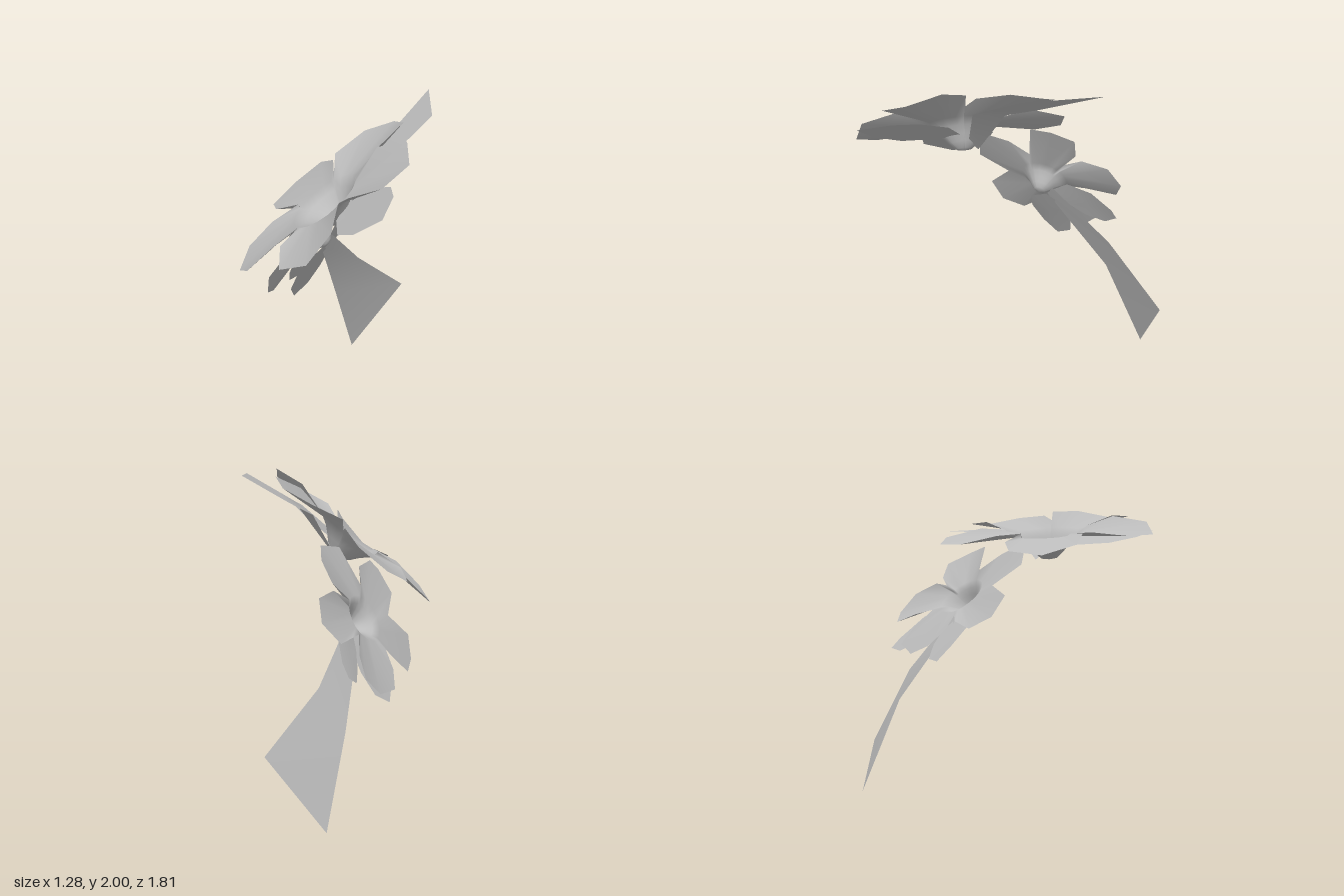
import * as THREE from 'three';

const blossomGrey = new THREE.MeshStandardMaterial({ color: 0xbababa, side: THREE.DoubleSide });
blossomGrey.name = 'blossomGrey';

function makeMesh(name, points, index) {
  const geo = new THREE.BufferGeometry().setFromPoints(points);
  geo.setIndex(index);
  geo.computeVertexNormals();
  const mesh = new THREE.Mesh(geo, blossomGrey);
  mesh.name = name;
  return mesh;
}

const toVectors = (list) => list.map((p) => new THREE.Vector3(...p));

// Radius and height of the round cup under the petals
const cup = [[0.05, 0.01], [0.09, 0.045], [0.125, 0.085], [0.17, 0.127], [0.23, 0.166]];

// Star of petals growing out of a blunt cup
function blossom(name, heart, facing, size, petals) {
  const c = new THREE.Vector3(...heart);
  const n = new THREE.Vector3(...facing).normalize();
  const rim = toVectors(petals.flat());
  const count = rim.length;
  const rings = cup.map(([r, h]) => rim.map((p) => {
    const out = p.clone().sub(c).projectOnPlane(n).normalize();
    return c.clone().addScaledVector(out, r * size).addScaledVector(n, h * size);
  }));
  rings.push(rim);
  const index = [];
  rings.forEach((ring, r) => {
    for (let i = 0; i < count; i++) {
      const a = 1 + r * count + i, b = 1 + r * count + (i + 1) % count;
      if (r === 0) index.push(0, a, b);
      else index.push(a - count, a, b, a - count, b, b - count);
    }
  });
  return makeMesh(name, [c, ...rings.flat()], index);
}

// Flat sepal: fan around its middle
function sepal(name, list) {
  const pts = toVectors(list);
  const mid = new THREE.Vector3();
  pts.forEach((p) => mid.addScaledVector(p, 1 / pts.length));
  const index = [];
  pts.forEach((p, i) => index.push(0, i + 1, ((i + 1) % pts.length) + 1));
  return makeMesh(name, [mid, ...pts], index);
}

// Leaf: strip of left and right edge pairs from base to tip
function leaf(name, pairs) {
  const index = [];
  for (let i = 0; i < pairs.length - 1; i++) {
    const k = i * 2;
    index.push(k, k + 1, k + 3, k, k + 3, k + 2);
  }
  return makeMesh(name, toVectors(pairs.flat()), index);
}

export function createModel() {
  const model = new THREE.Group();
  model.name = 'flowers';

  // Upper, larger flower; each row is one petal, starting at its inner corner
  const upper = new THREE.Group();
  upper.name = 'upperFlower';
  upper.add(blossom('upperPetals', [0.06, 1.43, 0.27], [-0.44, 0.79, 0.41], 1, [
    [[-0.14, 1.63, 0.1], [-0.245, 1.66, -0.02], [-0.44, 1.57, -0.135], [-0.57, 1.43, -0.03],
      [-0.575, 1.345, 0.17], [-0.415, 1.4, 0.32]],
    [[-0.23, 1.48, 0.33], [-0.4, 1.34, 0.375], [-0.48, 1.2, 0.5], [-0.39, 1.13, 0.685],
      [-0.22, 1.215, 0.8], [-0.09, 1.37, 0.72]],
    [[-0.03, 1.46, 0.555], [-0.025, 1.4, 0.725], [0.12, 1.355, 0.9], [0.325, 1.44, 0.905],
      [0.405, 1.61, 0.785], [0.3, 1.69, 0.6]],
    [[0.2, 1.64, 0.467], [0.34, 1.73, 0.55], [0.54, 1.82, 0.51], [0.577, 1.91, 0.31],
      [0.44, 1.975, 0.15], [0.22, 1.89, 0.14]],
    [[0.18, 1.79, 0.18], [0.19, 1.87, 0.09], [0.19, 1.955, -0.15], [0.03, 1.9, -0.27],
      [-0.165, 1.81, -0.23], [-0.22, 1.71, -0.01]],
  ]));
  upper.add(sepal('upperSepal', [
    [0.637, 1.7, 0.63], [0.455, 1.575, 0.655], [0.28, 1.5, 0.58], [0.14, 1.5, 0.42],
    [0.09, 1.545, 0.27], [0.275, 1.68, 0.23], [0.45, 1.75, 0.31], [0.56, 1.755, 0.43],
  ]));
  upper.add(leaf('upperLeaf', [
    [[0, 1.43, 0.21], [0.06, 1.5, 0.24]],
    [[0.02, 1.72, 0], [0.24, 1.79, 0.08]],
    [[0.01, 1.81, -0.23], [0.26, 1.87, -0.08]],
    [[0, 2, -0.665], [0.29, 1.98, -0.3]],
  ]));

  // Lower, smaller flower
  const lower = new THREE.Group();
  lower.name = 'lowerFlower';
  lower.add(blossom('lowerPetals', [-0.305, 1.08, -0.04], [-0.86, 0.48, 0.16], 0.65, [
    [[-0.32, 1.31, 0.045], [-0.21, 1.545, -0.03], [-0.195, 1.57, -0.19], [-0.29, 1.5, -0.3],
      [-0.35, 1.37, -0.275]],
    [[-0.4, 1.26, -0.17], [-0.38, 1.33, -0.3], [-0.41, 1.31, -0.47], [-0.48, 1.18, -0.53],
      [-0.56, 1.06, -0.455], [-0.53, 1.07, -0.31]],
    [[-0.49, 1.07, -0.19], [-0.56, 0.96, -0.28], [-0.63, 0.84, -0.31], [-0.645, 0.73, -0.19],
      [-0.638, 0.73, -0.035], [-0.57, 0.83, 0.04]],
    [[-0.51, 0.94, 0.045], [-0.55, 0.87, 0.1], [-0.545, 0.78, 0.225], [-0.48, 0.83, 0.35],
      [-0.42, 0.97, 0.4]],
    [[-0.38, 1.11, 0.24], [-0.29, 1.22, 0.4], [-0.22, 1.37, 0.35], [-0.2, 1.43, 0.29],
      [-0.23, 1.41, 0.14]],
  ]));
  lower.add(sepal('lowerSepal', [
    [-0.585, 0.64, -0.015], [-0.54, 0.73, 0.065], [-0.45, 0.87, 0.1], [-0.38, 0.98, 0.07],
    [-0.36, 1.04, -0.06], [-0.42, 0.95, -0.17], [-0.49, 0.83, -0.17], [-0.56, 0.7, -0.125],
  ]));
  lower.add(sepal('backSepal', [
    [-0.605, 0.865, -0.44], [-0.55, 0.945, -0.43], [-0.44, 1.09, -0.34], [-0.38, 1.14, -0.2],
    [-0.36, 1.08, -0.1], [-0.45, 0.96, -0.17], [-0.53, 0.87, -0.26], [-0.6, 0.82, -0.36],
  ]));
  lower.add(leaf('lowerLeaf', [
    [[-0.38, 1.035, -0.055], [-0.34, 1.11, -0.115]],
    [[-0.555, 0.53, -0.405], [-0.425, 0.79, -0.49]],
    [[-0.617, 0, -0.655], [-0.37, 0.46, -0.905]],
  ]));

  model.add(upper, lower);
  return model;
}
